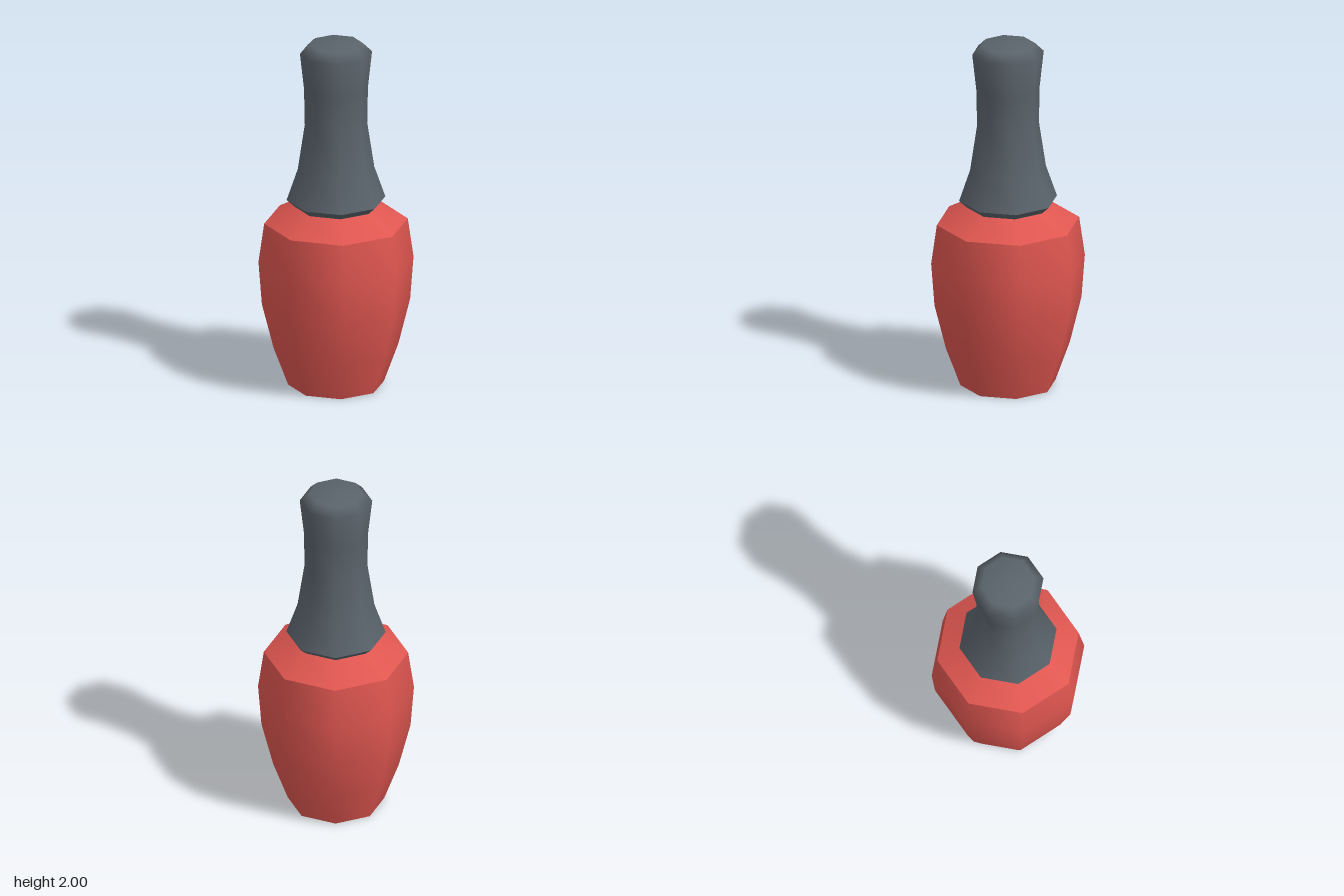
import * as THREE from 'three';

const SIDES = 8;

export function createModel() {
  const model = new THREE.Group();
  model.name = 'nailPolishBottle';

  const red = new THREE.MeshStandardMaterial({ color: 0xdf5650 });
  red.name = 'red polish';
  const grey = new THREE.MeshStandardMaterial({ color: 0x5a636b });
  grey.name = 'dark grey cap';

  // Each band is smooth in itself; separate bands meet in a sharp edge
  function band(name, material, parent, profile) {
    const points = profile.map(([r, y]) => new THREE.Vector2(r, y));
    const mesh = new THREE.Mesh(new THREE.LatheGeometry(points, SIDES), material);
    mesh.name = name;
    parent.add(mesh);
  }

  // Bottle: flat base, swelling body, sloping shoulder
  const bottle = new THREE.Group();
  bottle.name = 'bottle';
  band('bottleBase', red, bottle, [[0, 0], [0.267, 0]]);
  band('bottleBody', red, bottle, [
    [0.267, 0], [0.348, 0.22], [0.413, 0.48], [0.432, 0.73], [0.4, 0.955],
  ]);
  band('bottleShoulder', red, bottle, [[0.4, 0.955], [0.232, 1.05]]);

  // Cap: bevelled underside, then a waisted handle with a rounded top
  const cap = new THREE.Group();
  cap.name = 'cap';
  band('capUnderside', grey, cap, [[0.232, 1.05], [0.275, 1.09]]);
  band('capHandle', grey, cap, [
    [0.275, 1.09], [0.213, 1.27], [0.174, 1.53], [0.178, 1.74],
    [0.201, 1.95], [0.15, 2], [0, 2],
  ]);

  model.add(bottle, cap);
  return model;
}
